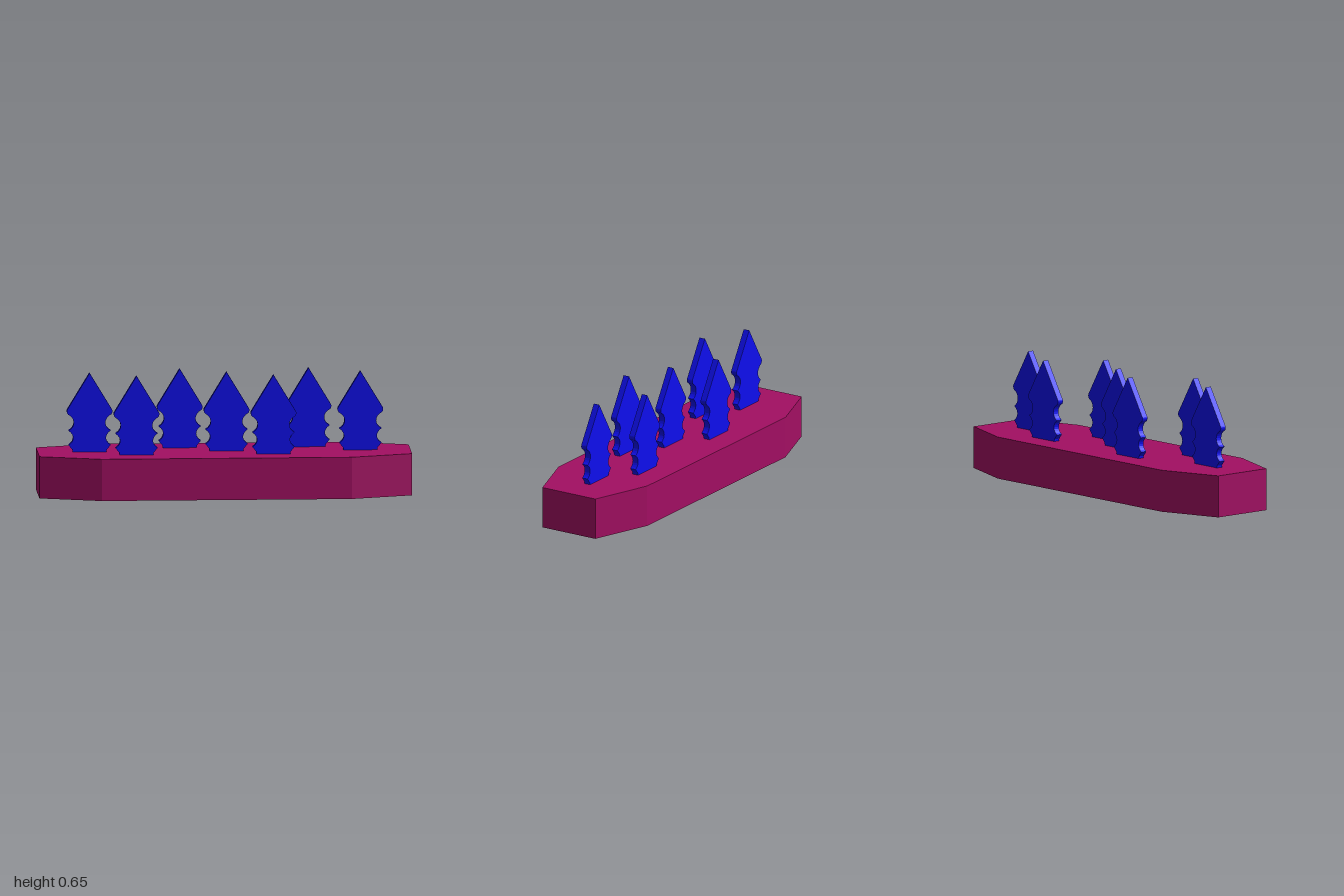
import * as THREE from 'three';

const BASE_TOP = 0.226;
const TREE_DEPTH = 0.035;

// Long eight-sided slab with tapered ends
function createBase() {
  const outline = [
    [1, -0.17], [1, 0.17], [0.67, 0.285], [-0.67, 0.285],
    [-1, 0.17], [-1, -0.17], [-0.67, -0.285], [0.67, -0.285],
  ].map(([x, y]) => new THREE.Vector2(x, y));
  const geometry = new THREE.ExtrudeGeometry(new THREE.Shape(outline), { depth: BASE_TOP, bevelEnabled: false });
  geometry.rotateX(-Math.PI / 2);
  const base = new THREE.Mesh(geometry, new THREE.MeshStandardMaterial({ color: 0xa30f63 }));
  base.name = 'base';
  return base;
}

// Flat tree silhouette: scalloped sides under a pointed crown
function createTreeGeometry() {
  const shape = new THREE.Shape();
  shape.moveTo(-0.09, BASE_TOP - 0.005);
  shape.lineTo(0.09, BASE_TOP - 0.005);
  shape.lineTo(0.092, 0.238);
  shape.lineTo(0.113, 0.264);
  shape.bezierCurveTo(0.08, 0.285, 0.08, 0.32, 0.113, 0.342);
  shape.bezierCurveTo(0.075, 0.362, 0.075, 0.41, 0.116, 0.43);
  shape.quadraticCurveTo(0.127, 0.445, 0.119, 0.457);
  shape.lineTo(0, 0.653);
  shape.lineTo(-0.119, 0.457);
  shape.quadraticCurveTo(-0.127, 0.445, -0.116, 0.43);
  shape.bezierCurveTo(-0.075, 0.41, -0.075, 0.362, -0.113, 0.342);
  shape.bezierCurveTo(-0.08, 0.32, -0.08, 0.285, -0.113, 0.264);
  shape.lineTo(-0.092, 0.238);
  const geometry = new THREE.ExtrudeGeometry(shape, { depth: TREE_DEPTH, bevelEnabled: false, curveSegments: 8 });
  return geometry.translate(0, 0, -TREE_DEPTH / 2);
}

export function createModel() {
  const model = new THREE.Group();
  model.name = 'treesOnBase';
  model.add(createBase());

  // Seven trees staggered in three rows
  const geometry = createTreeGeometry();
  const material = new THREE.MeshStandardMaterial({ color: 0x0f0ff0 });
  const positions = [
    [-0.722, 0], [-0.477, 0.122], [-0.231, -0.129], [0.013, 0],
    [0.258, 0.122], [0.46, -0.129], [0.731, 0],
  ];
  positions.forEach(([x, z], i) => {
    const tree = new THREE.Mesh(geometry, material);
    tree.name = `tree${i + 1}`;
    tree.position.set(x, 0, z);
    model.add(tree);
  });
  return model;
}
